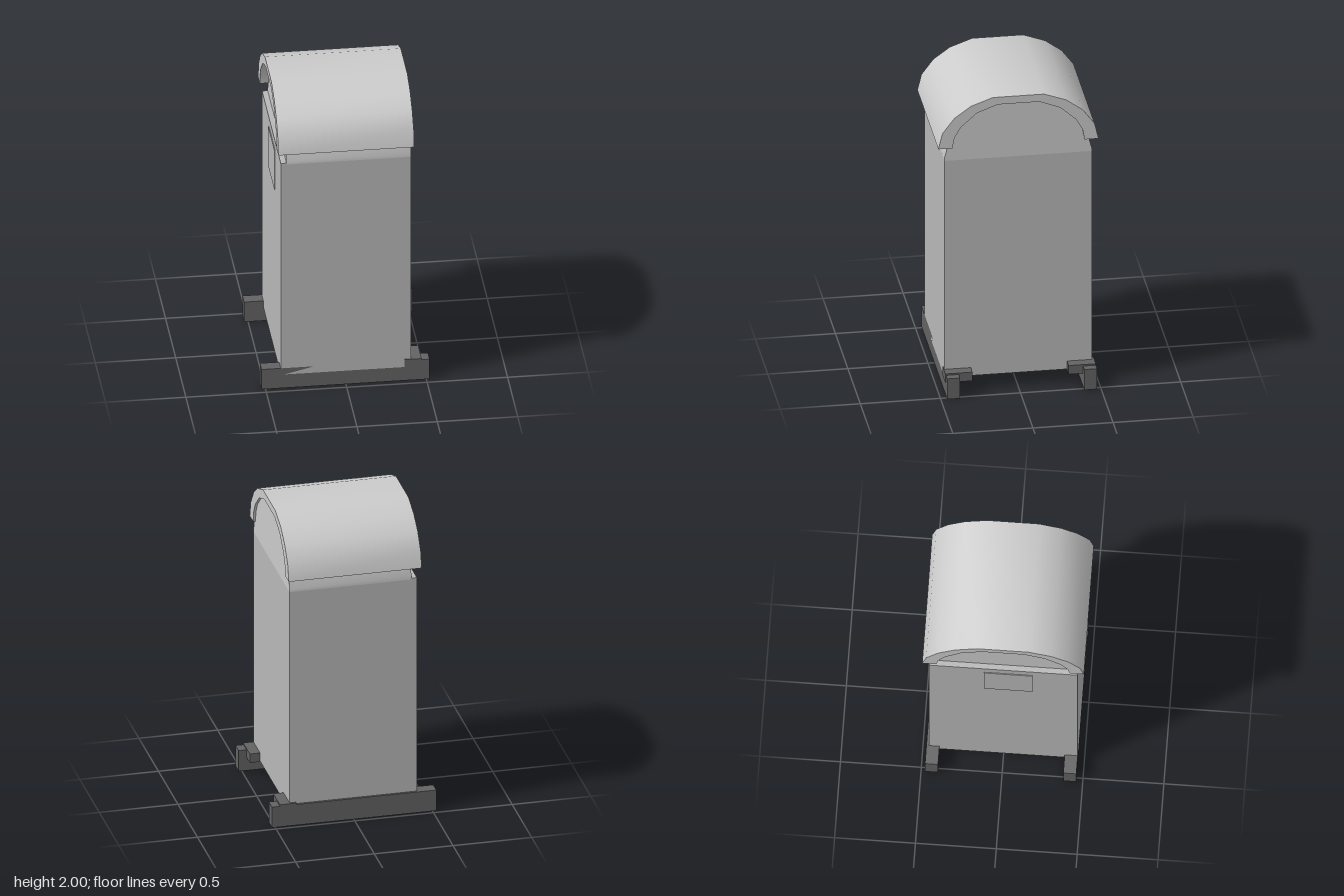
import * as THREE from 'three';
import { toCreasedNormals } from 'three/addons/utils/BufferGeometryUtils.js';

export function createModel() {
  const model = new THREE.Group();
  const light = new THREE.MeshStandardMaterial({ color: 0xcccccc });
  const grey = new THREE.MeshStandardMaterial({ color: 0xb8b8b8 });
  const dark = new THREE.MeshStandardMaterial({ color: 0x636363 });

  const add = (name, geometry, material) => {
    const mesh = new THREE.Mesh(geometry, material);
    mesh.name = name;
    model.add(mesh);
  };

  // Box given by its extents along x, y and z
  const box = (name, [x0, x1], [y0, y1], [z0, z1], material) => {
    const g = new THREE.BoxGeometry(x1 - x0, y1 - y0, z1 - z0);
    g.translate((x0 + x1) / 2, (y0 + y1) / 2, (z0 + z1) / 2);
    add(name, g, material);
  };

  // Half profile [z, y] mirrored to the other side
  const mirrored = (half) => [...half, ...half.map(([z, y]) => [-z, y]).reverse()];

  // Profile swept along x from x0 to x1
  const sweep = (name, points, x0, x1, material) => {
    const shape = new THREE.Shape(points.map(([z, y]) => new THREE.Vector2(z, y)));
    const g = new THREE.ExtrudeGeometry(shape, { depth: x1 - x0, bevelEnabled: false });
    g.rotateY(Math.PI / 2);
    g.translate(x0, 0, 0);
    add(name, toCreasedNormals(g, 0.6), material);
  };

  // Cabinet with a narrow ledge and a thin plate on its right side
  box('body', [-0.405, 0.405], [0.095, 1.58], [-0.46, 0.46], grey);
  box('ledge', [-0.405, -0.365], [1.58, 1.59], [-0.46, 0.46], grey);
  box('sidePlate', [-0.41, -0.4], [1.25, 1.53], [-0.12, 0.18], grey);

  // Rounded upper body under the roof
  const dome = [[0.46, 1.58], [0.46, 1.6], [0.442, 1.67], [0.42, 1.76],
    [0.375, 1.83], [0.27, 1.92], [0.14, 1.97]];
  sweep('dome', mirrored(dome), -0.37, 0.405, light);

  // Arched roof shell
  const outer = [[0.5, 1.67], [0.475, 1.775], [0.4, 1.875], [0.297, 1.95], [0.16, 2]];
  const inner = [[0.413, 1.67], [0.4, 1.74], [0.36, 1.81], [0.26, 1.9], [0.13, 1.95]];
  sweep('roof', [...mirrored(outer), ...mirrored(inner).reverse()], -0.425, 0.42, light);

  // Base rails, each with a bracket at the left side
  box('frontRail', [-0.525, 0.52], [0, 0.14], [0.38, 0.46], dark);
  box('backRail', [-0.525, 0.52], [0, 0.14], [-0.475, -0.395], dark);
  box('frontBracket', [0.365, 0.47], [0.09, 0.15], [0.295, 0.465], dark);
  box('backBracket', [0.365, 0.47], [0.09, 0.15], [-0.475, -0.305], dark);

  return model;
}
